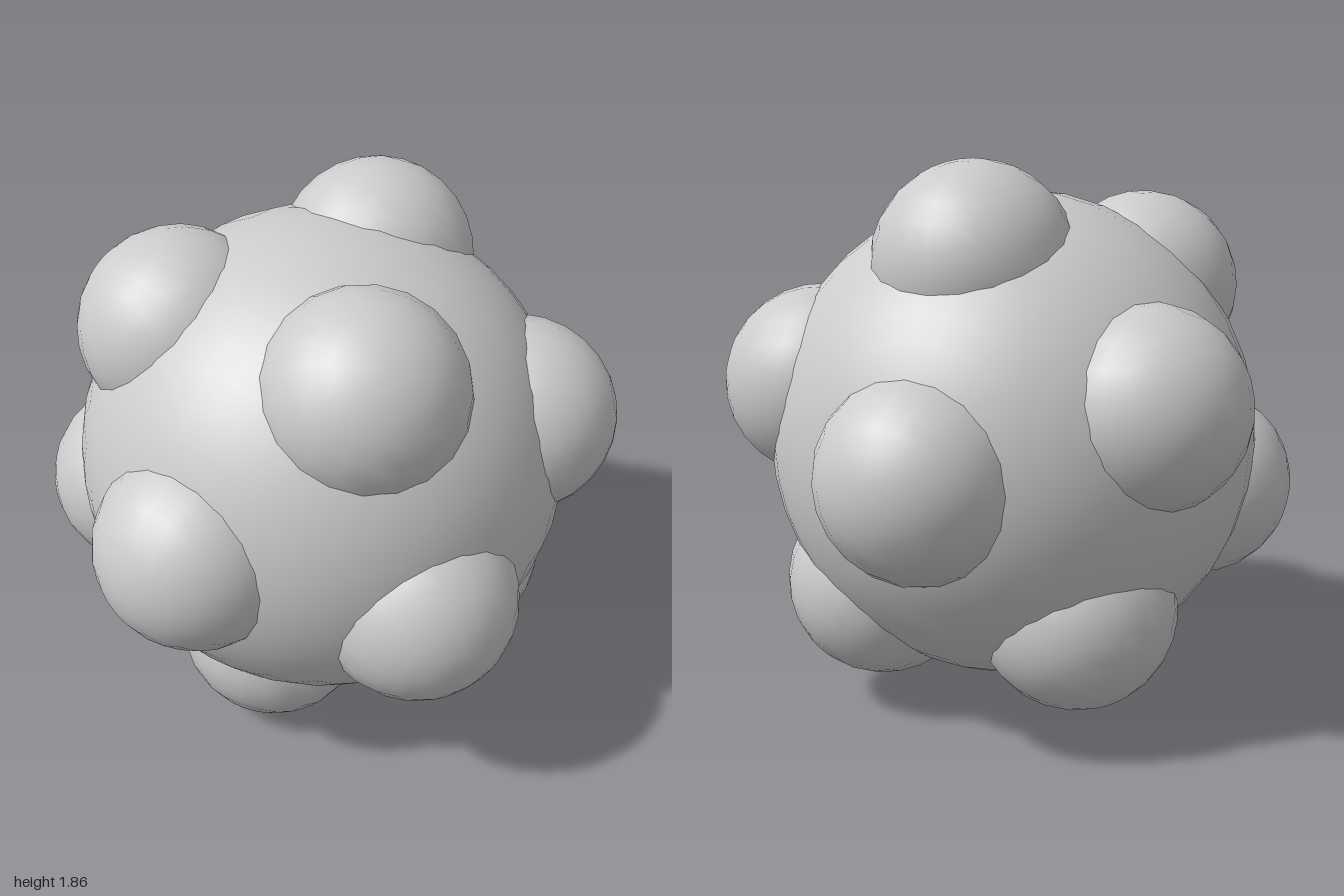
import * as THREE from 'three';

export function createModel() {
  const group = new THREE.Group();
  const material = new THREE.MeshStandardMaterial({ color: 0xcccccc });
  const centre = new THREE.Vector3(0, 0.922, 0);
  const bumpDistance = 0.67, bumpRadius = 0.33;

  // Large round core
  const core = new THREE.Mesh(new THREE.SphereGeometry(0.826, 36, 24), material);
  core.name = 'core';
  core.rotation.x = Math.PI / 2;
  core.position.copy(centre);
  group.add(core);

  // Twelve bumps on the corners of an icosahedron whose axis runs front to back
  const directions = [];
  for (const side of [1, -1]) {
    directions.push(new THREE.Vector3(0, 0, side));
    for (let i = 0; i < 5; i++) {
      const a = -side * Math.PI / 2 + i * Math.PI * 2 / 5;
      const ring = 2 / Math.sqrt(5);
      directions.push(new THREE.Vector3(Math.cos(a) * ring, Math.sin(a) * ring, side / Math.sqrt(5)));
    }
  }

  const bumpGeometry = new THREE.SphereGeometry(bumpRadius, 20, 14);
  const up = new THREE.Vector3(0, 1, 0);
  directions.forEach((direction, i) => {
    const bump = new THREE.Mesh(bumpGeometry, material);
    bump.name = `bump${i + 1}`;
    bump.quaternion.setFromUnitVectors(up, direction);
    bump.position.copy(centre).addScaledVector(direction, bumpDistance);
    group.add(bump);
  });

  return group;
}
